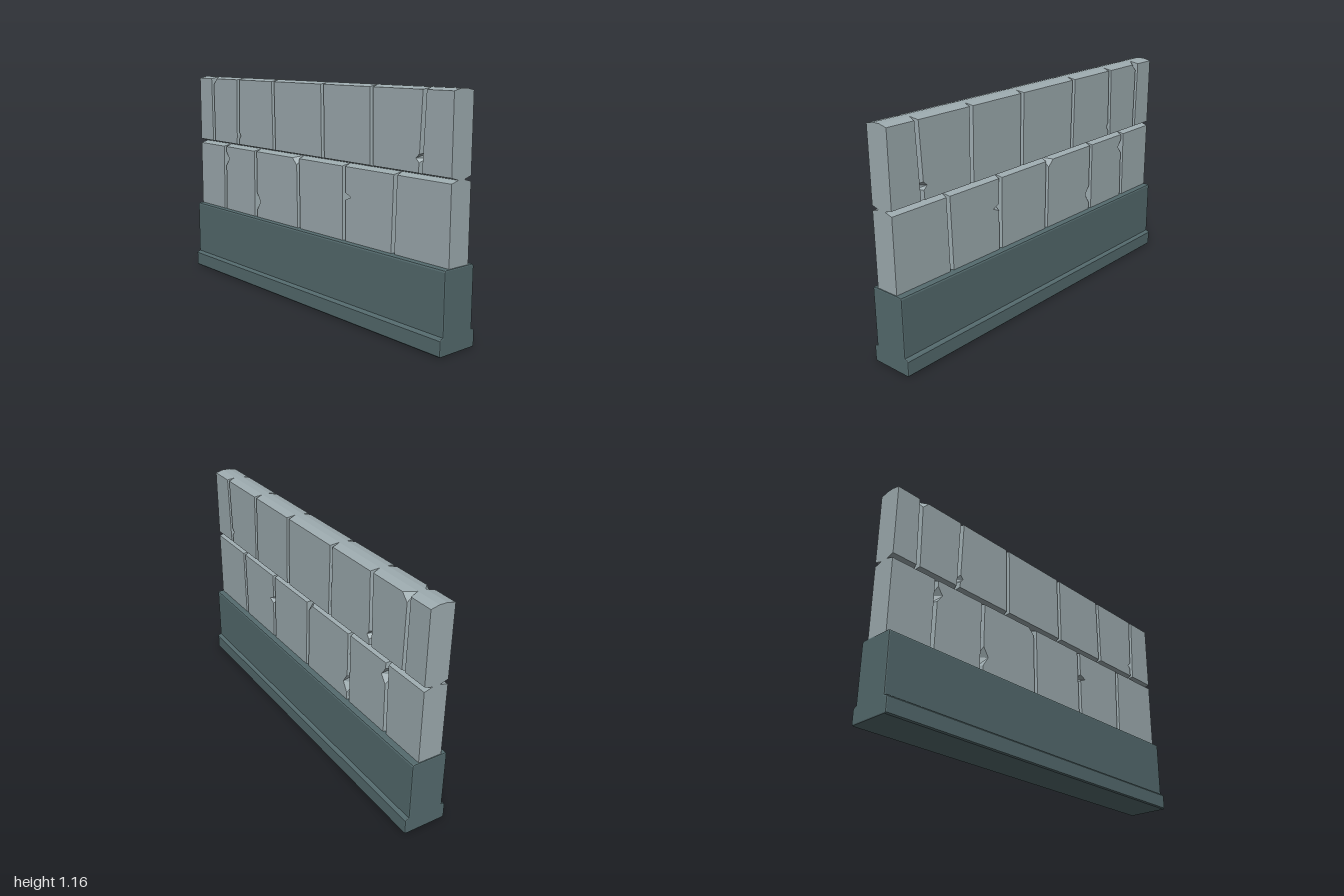
import * as THREE from 'three';

const stoneMat = new THREE.MeshStandardMaterial({ name: 'pale stone', color: 0x9dabaf });
const baseMat = new THREE.MeshStandardMaterial({ name: 'dark footing', color: 0x546a6d });

const FRONT = 0.065, BACK = -0.061, CORE = 0.022; // face planes and groove depth plane
const END = 0.995;

// One block: worn faces front and back, bevelled towards a core so that joints form V grooves.
// left/right: [x at bottom, x at top]; inset: bevel on each side; chips: notches in the face edge.
function stoneGeometry(left, right, y0, y1, inset, chips) {
  const lerp = (e, y) => e[0] + (e[1] - e[0]) * (y - y0) / (y1 - y0);
  const face = [], core = [];
  const add = (fx, fy, cx, cy) => {
    face.push(new THREE.Vector2(fx, fy));
    core.push(new THREE.Vector2(cx, cy));
  };
  const edge = (side, y, bite = 0) => side === 'L' ? lerp(left, y) + inset.l + bite : lerp(right, y) - inset.r - bite;
  const outer = (side, y) => lerp(side === 'L' ? left : right, y);
  const bottom = y0 + inset.b, top = y1 - inset.t;

  const notches = (side, dir) => chips.filter(c => c.side === side && !c.corner).forEach(c => {
    add(edge(side, c.y - dir * c.h), c.y - dir * c.h, outer(side, c.y - dir * c.h), c.y - dir * c.h);
    add(edge(side, c.y, c.bite), c.y, outer(side, c.y), c.y);
    add(edge(side, c.y + dir * c.h), c.y + dir * c.h, outer(side, c.y + dir * c.h), c.y + dir * c.h);
  });
  const topCorner = side => {
    const chip = chips.find(c => c.side === side && c.corner);
    const x = outer(side, y1);
    if (!chip) return add(edge(side, top), top, x, y1);
    const pts = [[edge(side, top - chip.h), top - chip.h], [edge(side, top, chip.bite), top]];
    if (side === 'L') pts.reverse();
    pts.forEach(p => add(p[0], p[1], x, y1));
  };

  add(edge('L', bottom), bottom, left[0], y0);
  add(edge('R', bottom), bottom, right[0], y0);
  notches('R', 1);
  topCorner('R');
  topCorner('L');
  notches('L', -1);

  const rings = [[face, FRONT], [core, CORE], [core, -CORE + 0.004], [face, BACK]];
  const pos = [];
  const put = (ring, i) => pos.push(ring[0][i].x, ring[0][i].y, ring[1]);
  const n = face.length;
  for (let k = 0; k < 3; k++) {
    const a = rings[k], c = rings[k + 1];
    for (let i = 0; i < n; i++) {
      const j = (i + 1) % n;
      put(a, i); put(c, i); put(c, j);
      put(a, i); put(c, j); put(a, j);
    }
  }
  for (const [i, j, k] of THREE.ShapeUtils.triangulateShape(face, [])) {
    put(rings[0], i); put(rings[0], j); put(rings[0], k);
    put(rings[3], i); put(rings[3], k); put(rings[3], j);
  }
  const geo = new THREE.BufferGeometry();
  geo.setAttribute('position', new THREE.Float32BufferAttribute(pos, 3));
  geo.computeVertexNormals();
  return geo;
}

// A course of blocks between slightly leaning joints
function course(name, joints, y0, y1, insetB, insetT, chips) {
  const group = new THREE.Group();
  group.name = name;
  const edges = [[-END, -END], ...joints, [END, END]];
  for (let i = 0; i < edges.length - 1; i++) {
    const inset = {
      l: i === 0 ? 0 : 0.011,
      r: i === edges.length - 2 ? 0 : 0.011,
      b: insetB, t: insetT,
    };
    const mesh = new THREE.Mesh(
      stoneGeometry(edges[i], edges[i + 1], y0, y1, inset, chips[i] || []), stoneMat);
    mesh.name = 'stone' + (i + 1);
    group.add(mesh);
  }
  return group;
}

// Stepped footing: softened half profile, mirrored and run along x
function footing() {
  const half = [
    [0.108, 0], [0.114, 0.006], [0.114, 0.077], [0.107, 0.085], [0.095, 0.088],
    [0.095, 0.38], [0.092, 0.387], [0.085, 0.39],
  ];
  const profile = [...half, ...half.map(([z, y]) => [-z, y]).reverse()];
  const shape = new THREE.Shape(profile.map(p => new THREE.Vector2(p[0], p[1])));
  const bevel = 0.006;
  const geo = new THREE.ExtrudeGeometry(shape, {
    depth: 2 - 2 * bevel, bevelEnabled: true, bevelSize: bevel,
    bevelThickness: bevel, bevelOffset: -bevel, bevelSegments: 2,
  });
  geo.translate(0, 0, -1 + bevel);
  geo.rotateY(Math.PI / 2);
  const mesh = new THREE.Mesh(geo, baseMat);
  mesh.name = 'footing';
  return mesh;
}

export function createModel() {
  const wall = new THREE.Group();
  wall.name = 'stoneWall';
  wall.add(footing());

  wall.add(course('lowerCourse',
    [[-0.738, -0.732], [-0.428, -0.428], [-0.04, -0.048], [0.318, 0.312], [0.655, 0.665]],
    0.38, 0.772, 0, 0.012, {
      1: [{ side: 'L', y: 0.69, h: 0.04, bite: 0.03 }],
      2: [{ side: 'L', y: 0.48, h: 0.05, bite: 0.032 },
        { side: 'R', corner: true, h: 0.035, bite: 0.035 }],
      4: [{ side: 'L', y: 0.613, h: 0.018, bite: 0.04 }],
    }));

  wall.add(course('upperCourse',
    [[-0.848, -0.855], [-0.598, -0.588], [-0.252, -0.262], [0.155, 0.147], [0.508, 0.5], [0.815, 0.832]],
    0.772, 1.16, 0.013, 0.01, {
      1: [{ side: 'L', corner: true, h: 0.035, bite: 0.035 },
        { side: 'R', y: 0.835, h: 0.018, bite: -0.002 }],
      2: [{ side: 'L', y: 0.835, h: 0.02, bite: 0.016 }],
      5: [{ side: 'R', y: 0.85, h: 0.02, bite: 0.02 }],
    }));
  return wall;
}
